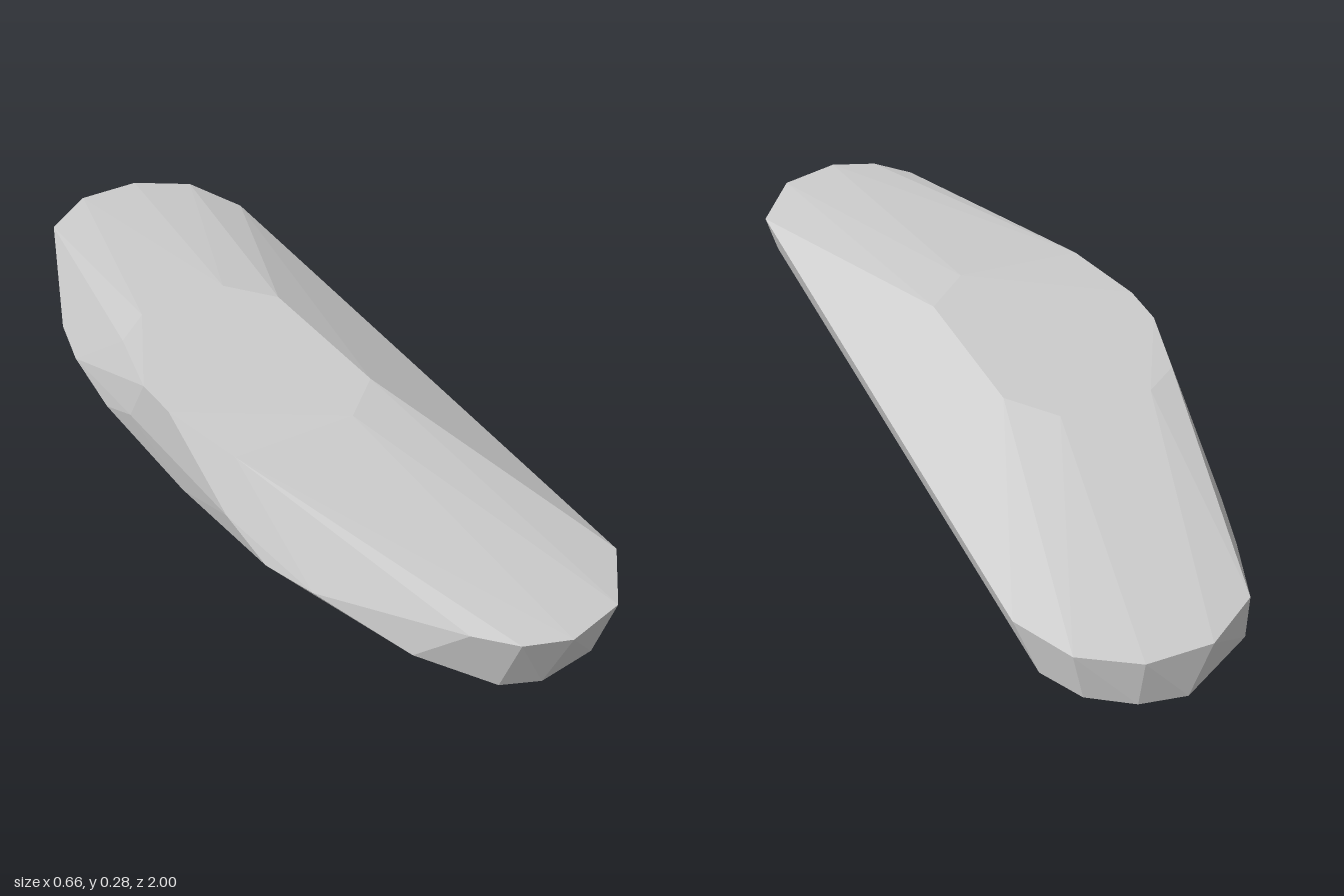
import * as THREE from 'three';
import { ConvexGeometry } from 'three/addons/geometries/ConvexGeometry.js';

// Flat crest, pushed over to one side
const crest = [
  [-0.333, 0.277, 0.03], [-0.333, 0.277, -0.08], [-0.29, 0.272, 0.24], [-0.285, 0.273, -0.26],
  [-0.2, 0.277, -0.32], [0.02, 0.277, -0.32], [0.105, 0.277, -0.21], [0.108, 0.277, 0.17], [0, 0.277, 0.26],
];

// Upper rim around the long outline
const upperRim = [
  [-0.13, 0.175, 0.88], [-0.06, 0.175, 0.96], [0.04, 0.175, 1], [0.18, 0.175, 0.967],
  [0.287, 0.175, 0.83], [0.332, 0.161, -0.75], [0.27, 0.168, -0.9], [0.15, 0.17, -0.98],
  [0, 0.172, -0.985], [-0.13, 0.175, -0.9],
];

// Lower rim, rising along the curved side
const lowerRim = [
  [0.25, 0.057, 0.86], [0.135, 0.055, 0.95], [0, 0.048, 0.96], [-0.08, 0.045, 0.92],
  [-0.19, 0.065, 0.77], [-0.28, 0.098, 0.53], [-0.315, 0.095, 0.4], [-0.333, 0.15, 0.27],
  [-0.333, 0.15, -0.15], [-0.315, 0.06, 0.05], [-0.315, 0.07, -0.3], [-0.29, 0.075, -0.5],
  [-0.25, 0.07, -0.64], [-0.2, 0.065, -0.74], [-0.135, 0.05, -0.885], [0.06, 0.065, -1],
  [0.16, 0.06, -0.975], [0.25, 0.058, -0.91], [0.295, 0.047, -0.8],
];

// Slightly bowed underside
const underside = [
  [0.17, 0.01, 0.82], [0.02, 0.01, 0.87], [-0.1, 0.012, 0.78], [-0.19, 0.008, 0.4],
  [-0.28, 0.038, 0.05], [-0.19, 0.01, -0.35], [-0.08, 0.015, -0.77], [0.02, 0.008, -0.87],
  [0.19, 0.006, -0.75], [0, 0, -0.4], [0.05, 0, 0.1],
];

export function createModel() {
  const model = new THREE.Group();
  const stone = new THREE.MeshStandardMaterial({ color: 0xcccccc });
  stone.name = 'stoneGrey';

  const points = [...crest, ...upperRim, ...lowerRim, ...underside].map((p) => new THREE.Vector3(...p));
  const rock = new THREE.Mesh(new ConvexGeometry(points), stone);
  rock.name = 'rock';
  model.add(rock);
  return model;
}
